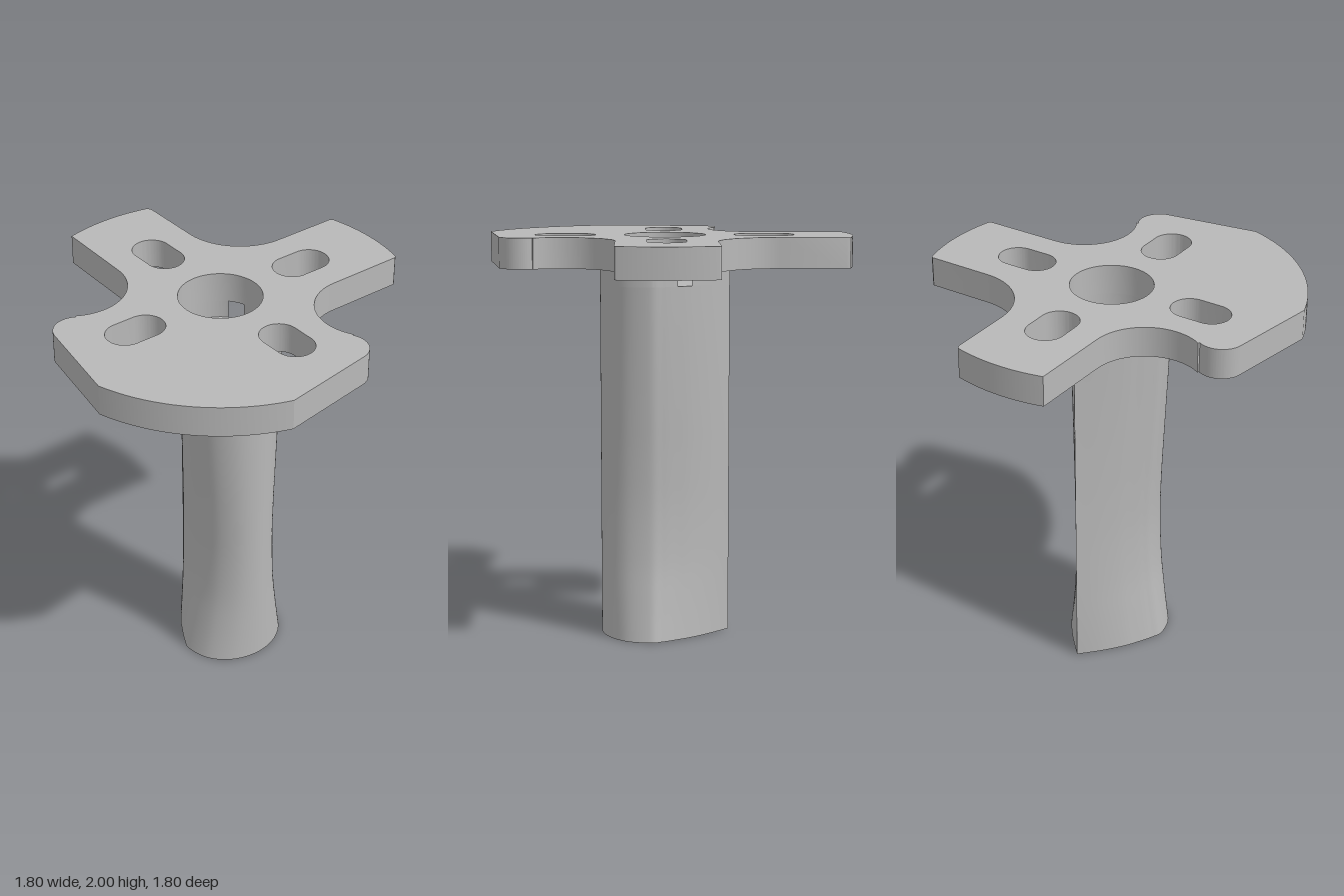
import * as THREE from 'three';
import { toCreasedNormals } from 'three/addons/utils/BufferGeometryUtils.js';

const CX = -0.02, CZ = 0.02;          // bore axis
const FLOOR = 1.76, UNDER = 1.85, TOP = 2;
const BORE = 0.2, NECK = 0.246;       // bore radius, handle half width at the neck
const rad = (d) => (d * Math.PI) / 180;
const V = (x, y) => new THREE.Vector2(x, y);

// Extrude a plan drawn in (x, z) downwards from a height
function slab(shape, top, depth) {
  const g = new THREE.ExtrudeGeometry(shape, { depth, bevelEnabled: false, curveSegments: 32 });
  g.rotateX(Math.PI / 2);
  g.translate(0, top, 0);
  return toCreasedNormals(g, 0.45);
}

function plateShape() {
  const s = new THREE.Shape();
  const arc = (x, z, r, a, b) => s.absarc(x, z, r, rad(a), rad(b), b < a);
  // back arm
  s.moveTo(-0.255, -0.85);
  arc(CX, CZ, 0.92, 255.5, 284.5);
  s.lineTo(0.22, -0.85);
  arc(0.53, -0.53, 0.31, 180, 90);
  // left arm
  s.lineTo(0.86, -0.22);
  arc(CX, CZ, 0.92, -14.5, 14.5);
  s.lineTo(0.86, 0.26);
  // front lobe, outer rim and side lobe
  arc(0.47, 0.52, 0.26, 270, 149);
  arc(0.145, 0.715, 0.11, -31, 82);
  arc(CX, CZ, 0.92, 107.8, 163);
  arc(-0.715, -0.145, 0.11, 188, 301);
  arc(-0.52, -0.47, 0.26, 121, 0);
  s.closePath();

  // central bore
  s.holes.push(new THREE.Path().absarc(CX, CZ, BORE, 0, Math.PI * 2, true));
  // four radial slots
  for (let k = 0; k < 4; k++) {
    const a = (k * Math.PI) / 2, c = Math.cos(a), n = Math.sin(a);
    const slot = new THREE.Path();
    slot.absarc(CX + 0.543 * c, CZ + 0.543 * n, 0.094, a - Math.PI / 2, a + Math.PI / 2, false);
    slot.absarc(CX + 0.433 * c, CZ + 0.433 * n, 0.094, a + Math.PI / 2, a + Math.PI * 1.5, false);
    slot.closePath();
    s.holes.push(slot);
  }
  return s;
}

// Teardrop section: sharp at the back, round at the front, half width 1
const half = [[0, -0.3], [0.35, -0.2], [0.615, -0.11], [0.775, -0.04], [0.915, 0.03],
  [1, 0.1], [0.866, 0.22], [0.5, 0.308], [0, 0.34]];
const mirrored = half.slice(0, -1).reverse().map(([x, z]) => [-x, z]);
const STEPS = 8;
const ring = new THREE.SplineCurve([...half, ...mirrored].map(([x, z]) => V(x, z))).getPoints(16 * STEPS);

// Waisted half width against height
const waist = new THREE.SplineCurve([[0.268, 0], [0.235, 0.2], [0.208, 0.4], [0.195, 0.65], [0.2, 0.9],
  [0.213, 1.15], [0.227, 1.4], [0.238, 1.6], [NECK, FLOOR]].map(([w, y]) => V(w, y))).getPoints(40);

function handleSide() {
  const pos = [], idx = [], n = ring.length;
  waist.forEach((p) => ring.forEach((r) => pos.push(CX + r.x * p.x, p.y, r.y)));
  for (let j = 0; j < waist.length - 1; j++) {
    for (let i = 0; i < n - 1; i++) {
      const a = j * n + i, b = a + n;
      idx.push(a, b, a + 1, a + 1, b, b + 1);
    }
  }
  const g = new THREE.BufferGeometry();
  g.setAttribute('position', new THREE.Float32BufferAttribute(pos, 3));
  g.setIndex(idx);
  g.computeVertexNormals();
  return g;
}

// Flat end of the handle, facing up (+1) or down (-1)
function handleEnd(width, y, facing) {
  const pts = ring.slice(0, -1).map((r) => V(CX + r.x * width, -facing * r.y));
  const g = new THREE.ShapeGeometry(new THREE.Shape(pts));
  g.rotateX((-facing * Math.PI) / 2);
  g.translate(0, y, 0);
  return g;
}

// Neck wall between the teardrop outline and the bore
function neckWall(outline, from, to) {
  const pts = outline.map((r) => V(CX + r.x * NECK, r.y));
  for (let i = 1; i < 48; i++) {
    const a = from + ((to - from) * i) / 48;
    pts.push(V(CX + BORE * Math.cos(a), CZ + BORE * Math.sin(a)));
  }
  return slab(new THREE.Shape(pts), UNDER, UNDER - FLOOR);
}

export function createModel() {
  const model = new THREE.Group();
  const grey = new THREE.MeshStandardMaterial({ color: 0xb8b8b8 });
  grey.name = 'light grey';
  const add = (name, geometry, parent) => {
    const m = new THREE.Mesh(geometry, grey);
    m.name = name;
    parent.add(m);
  };

  add('mountingPlate', slab(plateShape(), TOP, TOP - UNDER), model);

  const handle = new THREE.Group();
  handle.name = 'handle';
  model.add(handle);
  add('grip', handleSide(), handle);
  add('gripBase', handleEnd(waist[0].x, 0, -1), handle);
  add('boreFloor', handleEnd(NECK, FLOOR, 1), handle);

  // The bore breaks through both sides, leaving a front and a back wall
  const f = Math.asin(0.3), b = Math.asin(0.65), last = 16 * STEPS;
  add('neckFront', neckWall(ring.slice(3 * STEPS, last - 3 * STEPS + 1), Math.PI + f, -f), handle);
  const back = [...ring.slice(last - 2 * STEPS, last), ...ring.slice(0, 2 * STEPS + 1)];
  add('neckBack', neckWall(back, -b, b - Math.PI), handle);
  return model;
}
